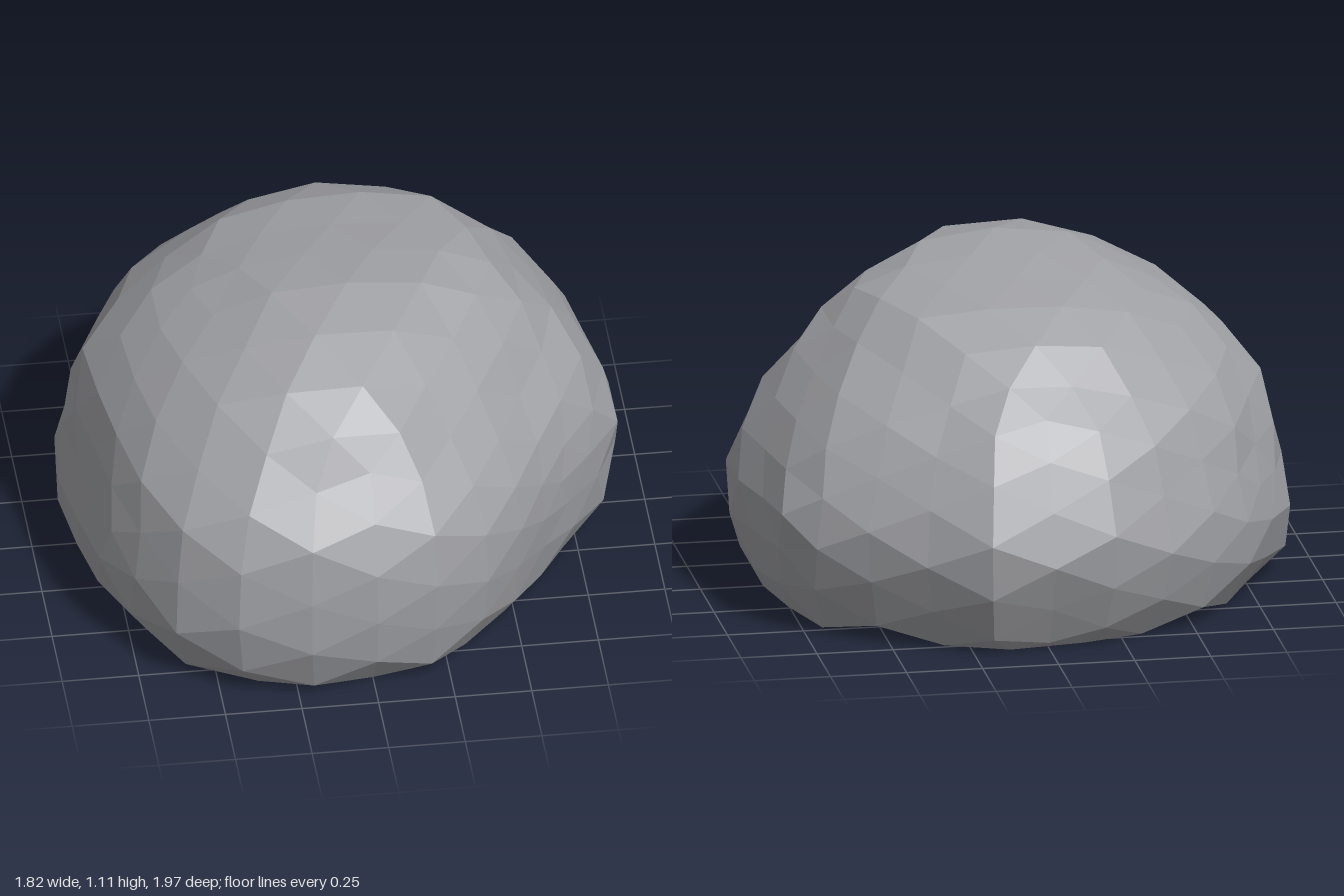
import * as THREE from 'three';

// Plan outline of the boulder as [x, z], walked from the back round by +x
const outline = [
  [0.2, -1], [0.42, -0.86], [0.6, -0.75], [0.77, -0.6], [0.82, -0.52], [0.91, -0.04],
  [0.89, 0.13], [0.67, 0.42], [0.55, 0.6], [0.42, 0.78], [0.22, 0.92], [-0.05, 1],
  [-0.3, 0.99], [-0.56, 0.9], [-0.73, 0.7], [-0.82, 0.5], [-0.89, 0.12], [-0.92, -0.2],
  [-0.82, -0.37], [-0.76, -0.53], [-0.63, -0.69], [-0.47, -0.81], [-0.26, -0.94], [-0.04, -0.96],
];

// Extents at each height: [y, xMin, xMax, zMin, zMax]
const levels = [
  [0, -0.8, 0.8, -0.83, 0.87],
  [0.04, -0.88, 0.85, -0.87, 0.94],
  [0.24, -0.92, 0.9, -0.97, 1],
  [0.34, -0.9, 0.91, -1, 1],
  [0.43, -0.88, 0.91, -0.97, 1],
  [0.62, -0.85, 0.83, -0.89, 0.97],
  [0.73, -0.79, 0.75, -0.82, 0.83],
  [0.83, -0.71, 0.67, -0.7, 0.77],
  [0.93, -0.58, 0.57, -0.61, 0.71],
  [1.0, -0.45, 0.49, -0.54, 0.58],
  [1.04, -0.37, 0.43, -0.31, 0.51],
  [1.08, -0.29, 0.25, -0.05, 0.38],
  [1.11, 0.02, 0.16, 0.16, 0.28],
];

const cross = (ax, az, bx, bz) => ax * bz - az * bx;

// Distance from the axis to the outline along (x, z), in units of that vector
function outlineReach(x, z) {
  for (let i = 0; i < outline.length; i++) {
    const [ax, az] = outline[i];
    const [bx, bz] = outline[(i + 1) % outline.length];
    if (cross(ax, az, x, z) >= 0 && cross(x, z, bx, bz) >= 0) {
      return cross(ax, az, bx - ax, bz - az) / cross(x, z, bx - ax, bz - az);
    }
  }
  return Infinity;
}

// Reach of a point to the outline fitted to the extents at its height
function reachAt(p) {
  const i = levels.findIndex((l) => l[0] > p.y);
  const low = levels[i - 1], high = levels[i];
  const t = (p.y - low[0]) / (high[0] - low[0]);
  const [, x0, x1, z0, z1] = low.map((v, k) => v + (high[k] - v) * t);
  const x = (p.x - (x0 + x1) / 2) / ((x1 - x0) / 2) * 0.915;
  const z = (p.z - (z0 + z1) / 2) / ((z1 - z0) / 2);
  return outlineReach(x, z);
}

// Within the ground, the top, the sloping cut on the +x front shoulder and the outline
function isInside(p) {
  if (p.y < 0 || p.y >= 1.11 || p.x + 1.2 * p.y + p.z > 1.83) return false;
  return reachAt(p) >= 1;
}

export function createModel() {
  const group = new THREE.Group();
  group.name = 'boulder';

  // Faceted sphere whose vertices are pushed out to the boulder's surface
  const geometry = new THREE.IcosahedronGeometry(1, 4);
  const position = geometry.attributes.position;
  const centre = new THREE.Vector3(0, 0.4, 0);
  const dir = new THREE.Vector3();
  const p = new THREE.Vector3();
  for (let i = 0; i < position.count; i++) {
    dir.fromBufferAttribute(position, i);
    // Small uneven dents
    const dent = 1.006 + 0.008 * Math.sin(9 * dir.x + 4 * dir.y) * Math.sin(8 * dir.z - 5 * dir.y + 1);
    dir.y *= 0.75;
    let near = 0, far = 2;
    for (let k = 0; k < 24; k++) {
      const mid = (near + far) / 2;
      if (isInside(p.copy(centre).addScaledVector(dir, mid))) near = mid;
      else far = mid;
    }
    p.copy(centre).addScaledVector(dir, near);
    if (p.y > 0.01) {
      p.x *= dent;
      p.z *= dent;
    } else {
      // Flat underside, its outer vertices drawn out to a clean rim
      p.y = 0;
      const reach = reachAt(p);
      if (reach < 1.35) {
        p.x *= reach;
        p.z *= reach;
      }
    }
    position.setXYZ(i, p.x, p.y, p.z);
  }
  geometry.computeVertexNormals();

  const rock = new THREE.Mesh(
    geometry,
    new THREE.MeshStandardMaterial({ color: 0xa0a1a5, flatShading: true }),
  );
  rock.name = 'rock';
  group.add(rock);
  return group;
}
